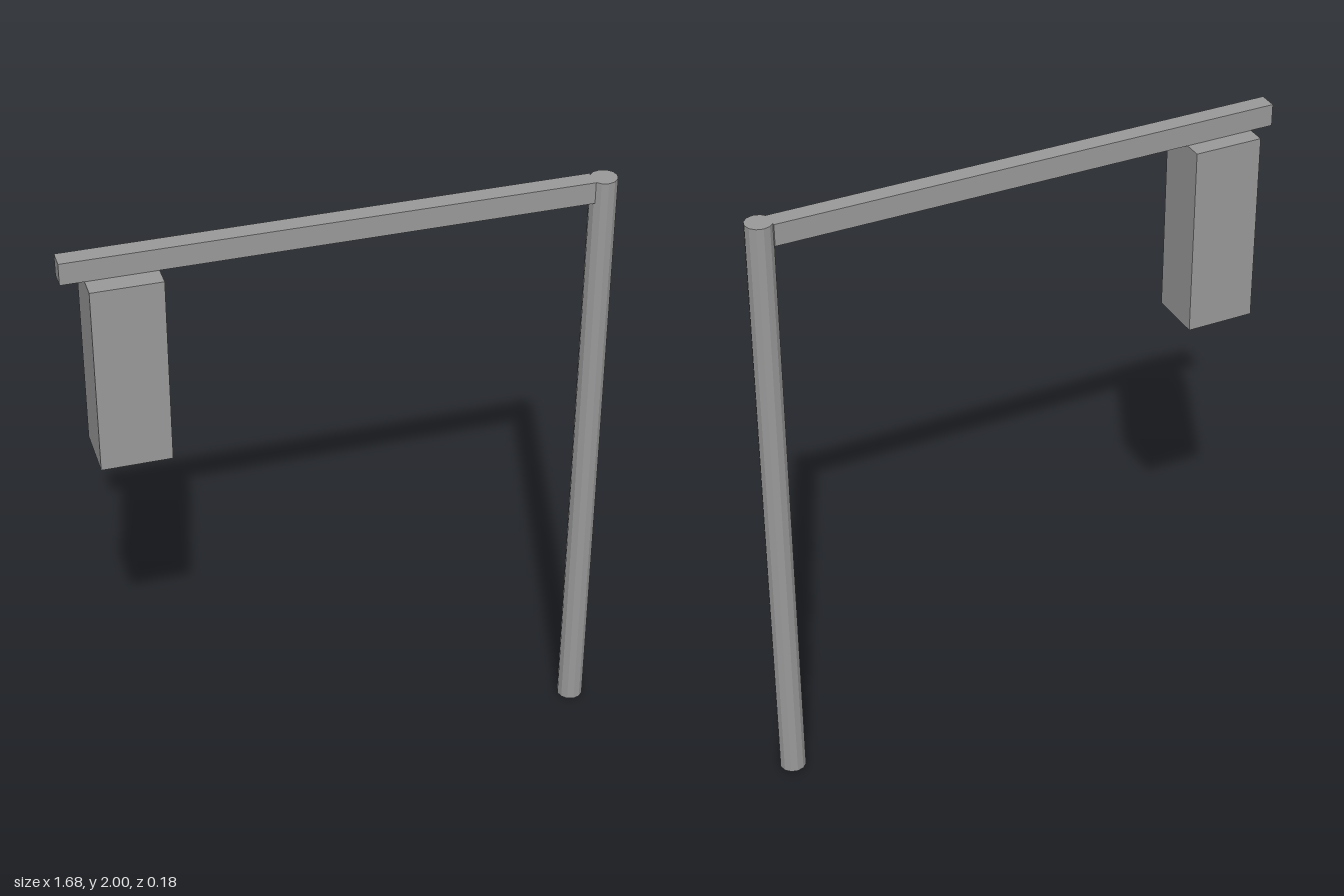
import * as THREE from 'three';

export function createModel() {
  const model = new THREE.Group();
  const grey = new THREE.MeshStandardMaterial({ color: 0x999999, flatShading: true, side: THREE.DoubleSide });
  grey.name = 'plain grey';

  const add = (name, geometry, x, y, z) => {
    const mesh = new THREE.Mesh(geometry, grey);
    mesh.name = name;
    mesh.position.set(x, y, z);
    model.add(mesh);
    return mesh;
  };

  // Hollow pole, open at the foot and capped at the top
  const radius = 0.042, poleX = 0.796, sides = 12;
  add('pole', new THREE.CylinderGeometry(radius, radius, 2, sides, 1, true), poleX, 1, 0);
  const cap = add('poleCap', new THREE.CircleGeometry(radius, sides), poleX, 2, 0);
  cap.rotation.x = -Math.PI / 2;

  // Horizontal arm reaching out from the pole
  const armStart = -0.84, armEnd = 0.762;
  add('arm', new THREE.BoxGeometry(armEnd - armStart, 0.07, 0.058), (armStart + armEnd) / 2, 1.965, -0.003);

  // Signal housing: a box without its bottom face
  const top = 1.93, bottom = 1.315, housingX = -0.66, depth = 0.178;
  const box = new THREE.BoxGeometry(0.217, top - bottom, depth);
  box.setIndex(Array.from(box.index.array).filter((_, i) => i < 18 || i >= 24));
  box.clearGroups();
  add('housing', box, housingX, (top + bottom) / 2, 0);

  // Three round lamps, almost flush with the front
  for (let i = 0; i < 3; i++) {
    add('lamp' + (i + 1), new THREE.CircleGeometry(0.072, 24), housingX, 1.8 - i * 0.177, depth / 2 + 0.001);
  }
  return model;
}
